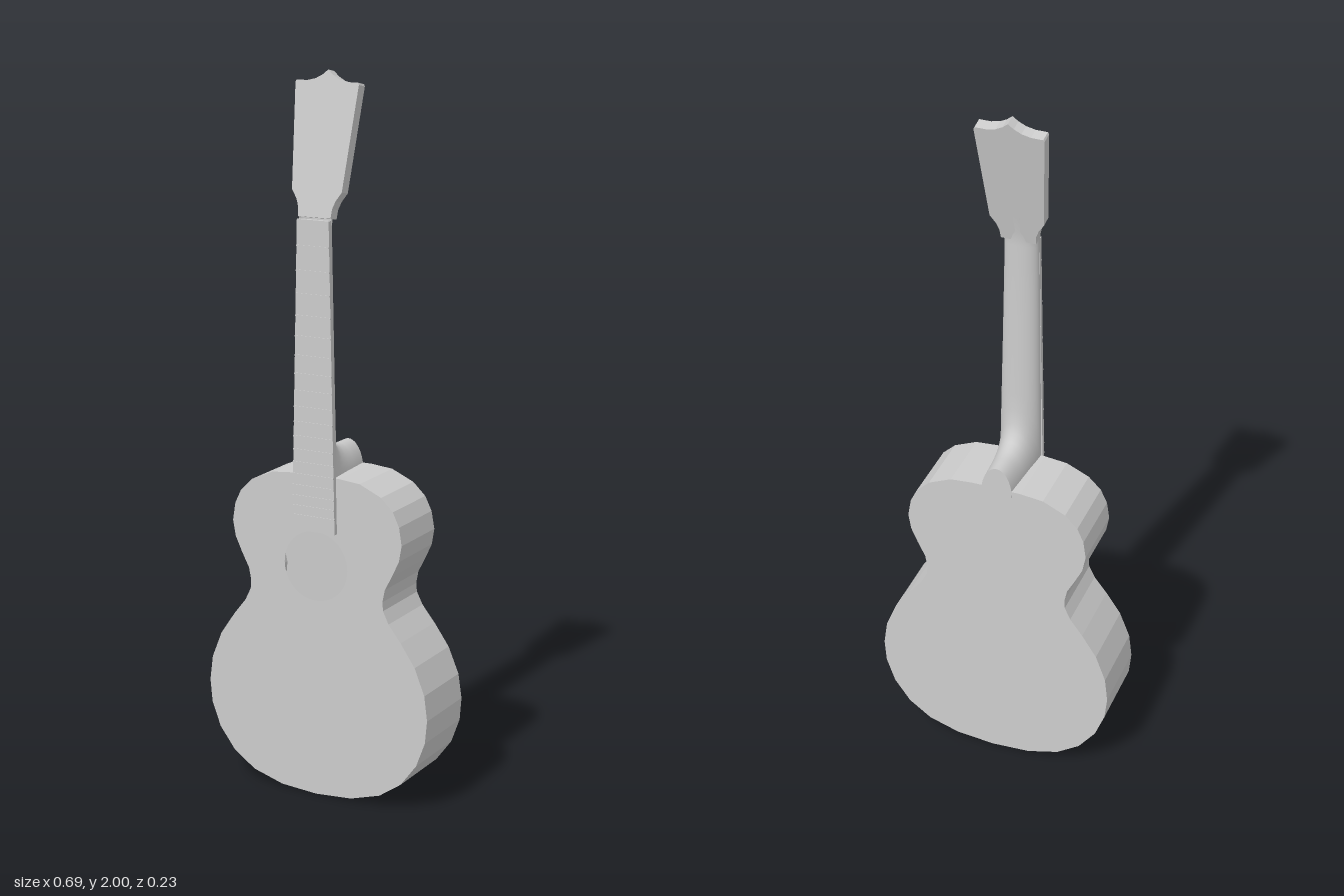
import * as THREE from 'three';

const smooth = new THREE.MeshStandardMaterial({ color: 0xcccccc, side: THREE.DoubleSide });
const faceted = new THREE.MeshStandardMaterial({ color: 0xcccccc, side: THREE.DoubleSide, flatShading: true });

const FRONT = 0.102;                            // plane of the soundboard
const backZ = (y) => -0.117 + 0.036 * y;        // the back tapers towards the neck
const NUT = 1.615, BOARD_END = 0.765;
const boardHalf = (y) => THREE.MathUtils.mapLinear(y, BOARD_END, NUT, 0.066, 0.048);

function mesh(name, geometry, material = faceted) {
  const m = new THREE.Mesh(geometry, material);
  m.name = name;
  return m;
}

// Closed outline from the right-hand half, listed bottom to top
function mirrored(half) {
  const left = half.filter(([x]) => x > 0).reverse().map(([x, y]) => [-x, y]);
  return [...half, ...left].map(([x, y]) => new THREE.Vector2(x, y));
}

function indexed(positions, indices) {
  const g = new THREE.BufferGeometry();
  g.setAttribute('position', new THREE.Float32BufferAttribute(positions, 3));
  g.setIndex(indices);
  g.computeVertexNormals();
  return g;
}

// Surface through rows of equal length
function skin(rows) {
  const n = rows[0].length, index = [];
  for (let i = 0; i < rows.length - 1; i++) {
    for (let j = 0; j < n - 1; j++) {
      const a = i * n + j, c = a + n;
      index.push(a, a + 1, c, a + 1, c + 1, c);
    }
  }
  return indexed(rows.flat(2), index);
}

// U-shaped section [half width, base y, base z, tip y, tip z]
function section([w, by, bz, ty, tz], steps = 20) {
  return Array.from({ length: steps + 1 }, (_, j) => {
    const t = (j / steps) * Math.PI, s = Math.sin(t);
    return [w * Math.cos(t), by + (ty - by) * s, bz + (tz - bz) * s];
  });
}

// Hollow body: soundboard with hole, ribs and sloping back
function createBody() {
  const body = new THREE.Group();
  body.name = 'body';
  const outline = mirrored([
    [0, 0.002], [0.11, 0.01], [0.2, 0.037], [0.265, 0.082], [0.312, 0.145], [0.338, 0.215],
    [0.344, 0.28], [0.335, 0.35], [0.305, 0.425], [0.262, 0.488], [0.225, 0.535],
    [0.208, 0.57], [0.206, 0.595], [0.213, 0.63], [0.235, 0.672], [0.255, 0.715],
    [0.263, 0.76], [0.255, 0.81], [0.236, 0.85], [0.2, 0.885], [0.135, 0.914], [0.07, 0.92], [0, 0.92],
  ]);

  const top = new THREE.Shape(outline);
  top.holes.push(new THREE.Path().absarc(0, 0.665, 0.098, 0, Math.PI * 2, true));
  body.add(mesh('soundboard', new THREE.ShapeGeometry(top, 24).translate(0, 0, FRONT)));

  const back = new THREE.ShapeGeometry(new THREE.Shape(outline));
  const p = back.attributes.position;
  for (let i = 0; i < p.count; i++) p.setZ(i, backZ(p.getY(i)));
  body.add(mesh('back', back));

  const loop = [...outline, outline[0]];
  const ribs = skin(loop.map(({ x, y }) => [[x, y, FRONT], [x, y, backZ(y)]]));
  body.add(mesh('ribs', ribs));
  return body;
}

// Rounded neck that sweeps back into the heel
function createNeck() {
  const neck = new THREE.Group();
  neck.name = 'neck';
  const sections = [
    [0.045, 0.9, -0.085, 0.984, -0.082],
    [0.049, 0.9, -0.03, 0.984, -0.03],
    [0.051, 0.9, 0.0, 0.988, 0.0],
    [0.053, 0.9, 0.035, 1.0, 0.027],
    [0.056, 0.9, 0.07, 1.018, 0.043],
    [0.058, 0.92, FRONT, 1.045, 0.053],
    [0.058, 0.99, FRONT, 1.085, 0.059],
    [0.056, 1.12, FRONT, 1.14, 0.062],
    [0.052, 1.36, FRONT, 1.36, 0.068],
    [0.048, 1.59, FRONT, 1.6, 0.073],
    [0.05, 1.63, FRONT, 1.645, 0.068],
    [0.062, 1.67, 0.09, 1.695, 0.058],
  ];
  const first = sections[0], [, y, z] = first;
  neck.add(mesh('neckShaft', skin(sections.map((s) => section(s))), smooth));
  neck.add(mesh('heelCap', skin([section([0, y, z, y, z]), section(first)])));
  return neck;
}

// Tilted headstock plate with a pointed crest
function createHeadstock() {
  const s = new THREE.Shape(mirrored([
    [0, -0.07], [0.049, -0.07], [0.051, -0.045], [0.059, -0.024], [0.075, 0],
    [0.095, 0.28], [0.092, 0.286], [0.06, 0.286], [0.035, 0.292], [0.015, 0.303], [0, 0.316],
  ]));
  const g = new THREE.ExtrudeGeometry(s, { depth: 0.033, bevelEnabled: false });
  g.translate(0, 0, -0.033).rotateX(-0.197).translate(0, 1.69, 0.093);
  return mesh('headstock', g);
}

// Tapered fingerboard with frets at equal-temperament spacing
function createFingerboard() {
  const group = new THREE.Group();
  group.name = 'fingerboard';
  const a = boardHalf(BOARD_END), b = boardHalf(NUT);
  const s = new THREE.Shape([[-a, BOARD_END], [a, BOARD_END], [b, NUT], [-b, NUT]]
    .map(([x, y]) => new THREE.Vector2(x, y)));
  const board = new THREE.ExtrudeGeometry(s, { depth: 0.013, bevelEnabled: false });
  group.add(mesh('fretboard', board.translate(0, 0, FRONT)));

  const scale = 1.25;
  for (let n = 1; n <= 18; n++) {
    const y = NUT - scale * (1 - 2 ** (-n / 12));
    const fret = mesh('fret', new THREE.BoxGeometry(boardHalf(y) * 2, 0.004, 0.004));
    fret.position.set(0, y, 0.115);
    group.add(fret);
  }
  return group;
}

export function createModel() {
  const guitar = new THREE.Group();
  guitar.name = 'guitar';
  guitar.add(createBody(), createNeck(), createHeadstock(), createFingerboard());
  return guitar;
}
